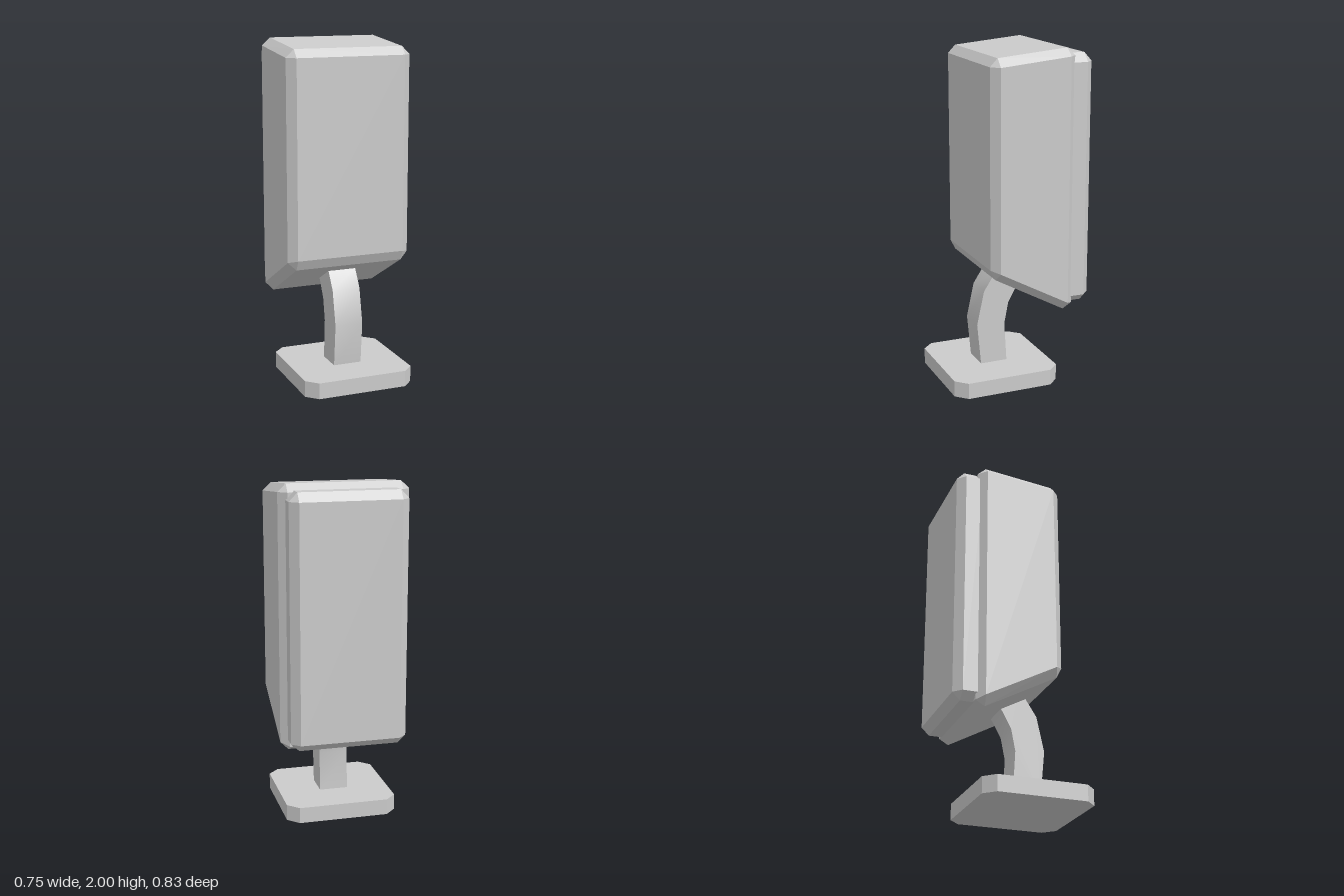
import * as THREE from 'three';
import { toCreasedNormals } from 'three/addons/utils/BufferGeometryUtils.js';
import { ConvexGeometry } from 'three/addons/geometries/ConvexGeometry.js';

const flat = new THREE.MeshStandardMaterial({ color: 0xcccccc, flatShading: true });
const smooth = new THREE.MeshStandardMaterial({ color: 0xcccccc });

function part(name, geometry, material = flat) {
  const mesh = new THREE.Mesh(geometry, material);
  mesh.name = name;
  return mesh;
}

// Convex solid from points on the +x half, mirrored to -x
function mirroredHull(points) {
  const all = [];
  for (const [x, y, z] of points) {
    all.push(new THREE.Vector3(x, y, z), new THREE.Vector3(-x, y, z));
  }
  return new ConvexGeometry(all);
}

function extrude(points, depth) {
  const shape = new THREE.Shape(points.map(([x, y]) => new THREE.Vector2(x, y)));
  return new THREE.ExtrudeGeometry(shape, { depth, bevelEnabled: false });
}

export function createModel() {
  const group = new THREE.Group();

  // Wedge-bottomed cabinet: each corner is cut to three points
  const xi = 0.327, xo = 0.375;
  group.add(part('cabinet', mirroredHull([
    [xi, 1.915, 0.215], [xi, 1.962, 0.17], [xo, 1.915, 0.17],
    [xi, 2.0, -0.247], [xi, 1.955, -0.295], [xo, 1.955, -0.25],
    [xi, 0.765, 0.215], [xi, 0.705, 0.185], [xo, 0.75, 0.17],
    [xi, 0.473, -0.24], [xi, 0.505, -0.295], [xo, 0.523, -0.25],
  ])));

  // Chamfered panel sunk into the back of the cabinet
  const panel = [];
  for (const [yOuter, yInner] of [[1.965, 1.915], [0.503, 0.547]]) {
    panel.push([0.29, yInner, -0.415], [0.29, yOuter, -0.37], [0.338, yInner, -0.37]);
    panel.push([0.29, yOuter, -0.26], [0.338, yInner, -0.26]);
  }
  group.add(part('backPanel', mirroredHull(panel)));

  // Bent neck, profile drawn as (z, y)
  const neck = extrude([
    [0.01, 0.08], [0.025, 0.33], [0, 0.46], [-0.06, 0.57], [-0.09, 0.62],
    [0.05, 0.71], [0.09, 0.65], [0.155, 0.55], [0.2, 0.345], [0.175, 0.08],
  ], 0.17);
  neck.rotateY(-Math.PI / 2).translate(0.077, 0, 0);
  group.add(part('neck', toCreasedNormals(neck, Math.PI / 6), smooth));

  // Square foot with cut corners
  const w = 0.3325, d = 0.325, c = 0.065;
  const foot = extrude([
    [-w + c, -d], [w - c, -d], [w, -d + c], [w, d - c],
    [w - c, d], [-w + c, d], [-w, d - c], [-w, -d + c],
  ], 0.095);
  foot.rotateX(-Math.PI / 2).translate(-0.008, 0, 0.09);
  group.add(part('foot', foot));

  return group;
}
